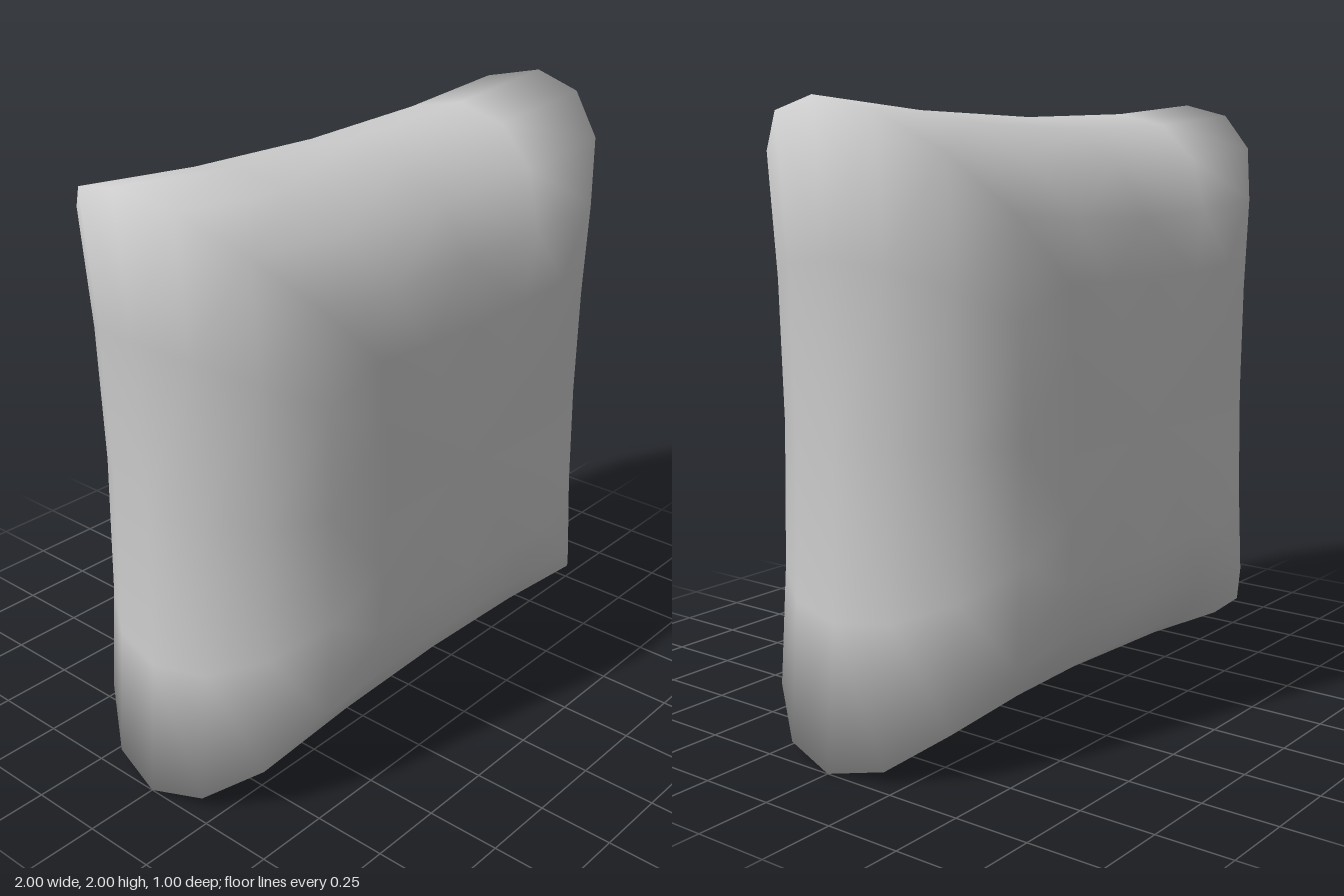
import * as THREE from 'three';

// Square pillow lofted from concave-sided rings, closed by a fan on each face
export function createModel() {
  const group = new THREE.Group();
  const STEPS = 8;                       // rings from front face to back face
  const T = [-1, -0.54, 0, 0.54];        // points along one side of a ring
  const N = T.length * 4;
  const SAG = 0.053;                     // how far each side bows inward
  const pos = [], idx = [];

  for (let i = 0; i <= STEPS; i++) {
    const a = Math.PI / 2 - (i / STEPS) * Math.PI;
    const c = 0.46 + 0.54 * Math.cos(a); // corner distance of this ring
    const z = 0.5 * Math.sin(a);
    for (let side = 0; side < 4; side++) {
      const cs = Math.round(Math.cos(side * Math.PI / 2));
      const sn = Math.round(Math.sin(side * Math.PI / 2));
      for (const t of T) {
        const u = c * (1 - SAG * (1 - t * t)), v = c * t;
        pos.push(u * cs - v * sn, 1 + u * sn + v * cs, z);
      }
    }
  }
  const front = pos.length / 3, back = front + 1;
  pos.push(0, 1, 0.5, 0, 1, -0.5);

  // padded sides, with diagonals mirrored about each side's middle
  for (let i = 0; i < STEPS; i++) {
    for (let k = 0; k < N; k++) {
      const n = (k + 1) % N;
      const a = i * N + k, b = i * N + n, c = a + N, d = b + N;
      if ((k % 4 < 2) === (i < STEPS / 2)) idx.push(a, c, d, a, d, b);
      else idx.push(a, c, b, b, c, d);
    }
  }
  // front and back faces
  const last = STEPS * N;
  for (let k = 0; k < N; k++) {
    const n = (k + 1) % N;
    idx.push(front, k, n, back, last + n, last + k);
  }

  const geo = new THREE.BufferGeometry();
  geo.setAttribute('position', new THREE.Float32BufferAttribute(pos, 3));
  geo.setIndex(idx);
  geo.computeVertexNormals();

  const pillow = new THREE.Mesh(geo, new THREE.MeshStandardMaterial({ color: 0xcccccc }));
  pillow.name = 'pillow';
  group.add(pillow);
  return group;
}
